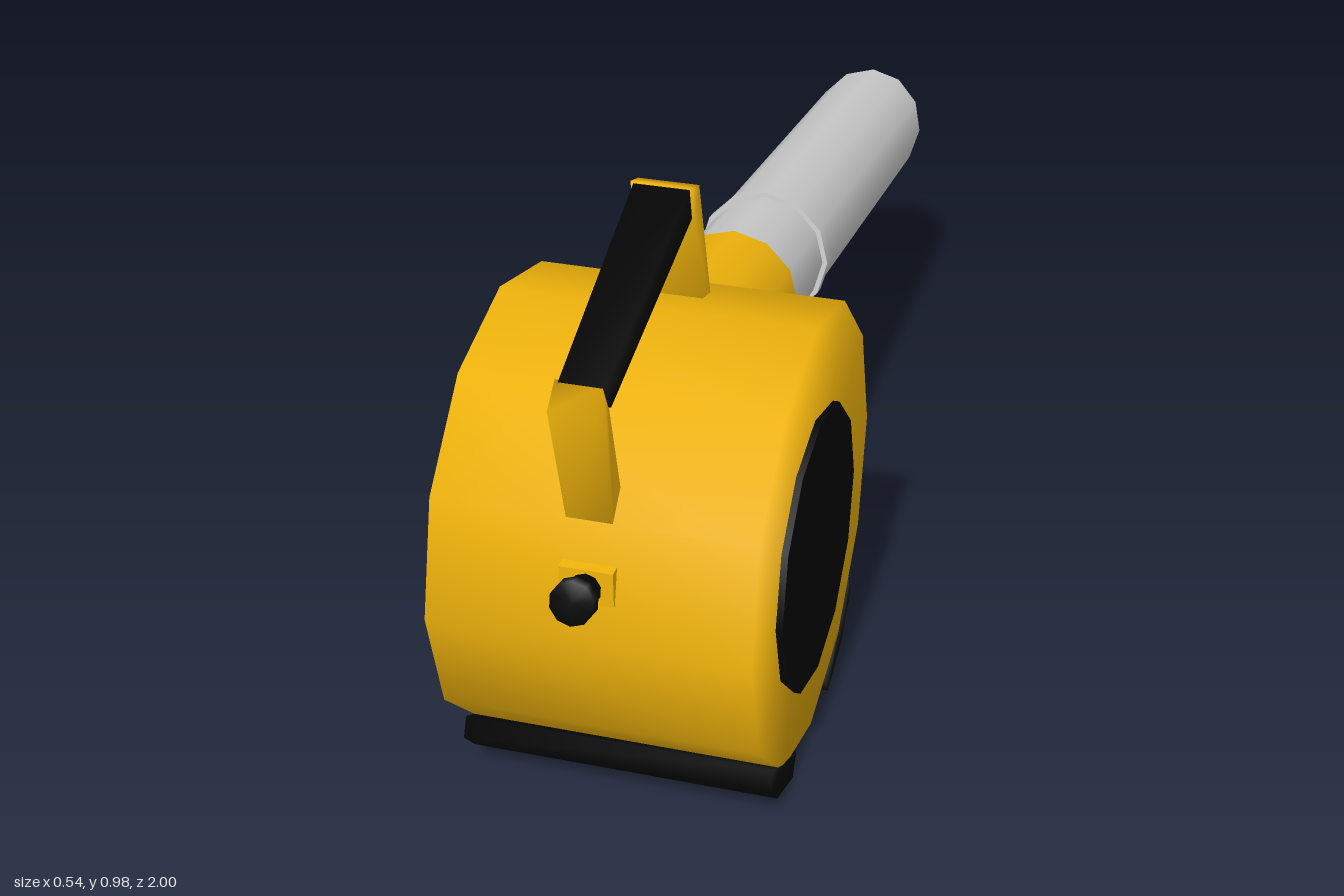
import * as THREE from 'three';
import { mergeVertices } from 'three/addons/utils/BufferGeometryUtils.js';

const yellow = new THREE.MeshStandardMaterial({ color: 0xf2b50c });
const black = new THREE.MeshStandardMaterial({ color: 0x060606 });
const grey = new THREE.MeshStandardMaterial({ color: 0xcccccc, side: THREE.DoubleSide });
const SIDES = 12;
const BODY = { y: 0.403, z: 0.555, r: 0.383, half: 0.26 };

// Shares normals over all edges for a soft look
function smooth(geometry) {
  geometry.deleteAttribute('uv');
  geometry.deleteAttribute('normal');
  const g = mergeVertices(geometry, 1e-4);
  g.computeVertexNormals();
  return g;
}

export function createModel() {
  const model = new THREE.Group();

  function add(name, geometry, material, parent = model) {
    const mesh = new THREE.Mesh(geometry, material);
    mesh.name = name;
    parent.add(mesh);
    return mesh;
  }

  // Side profile of [z, y] points given a half width in x (may vary with z)
  function prism(points, halfWidth) {
    const shape = new THREE.Shape(points.map(([z, y]) => new THREE.Vector2(-z, y)));
    const g = new THREE.ExtrudeGeometry(shape, { depth: 2, bevelEnabled: false });
    g.translate(0, 0, -1).rotateY(Math.PI / 2);
    const p = g.attributes.position;
    for (let i = 0; i < p.count; i++) p.setX(i, p.getX(i) * halfWidth(p.getZ(i)));
    return smooth(g);
  }

  // Drum-shaped housing lying across x
  const drum = new THREE.CylinderGeometry(BODY.r, BODY.r, BODY.half * 2, SIDES);
  drum.rotateZ(Math.PI / 2);
  add('housing', smooth(drum), yellow).position.set(0, BODY.y, BODY.z);

  // Round side covers, the left one slightly larger
  for (const [name, x, r] of [['leftCover', 0.256, 0.239], ['rightCover', -0.257, 0.23]]) {
    const cover = new THREE.CylinderGeometry(r, r, 0.03, SIDES);
    cover.rotateZ(Math.PI / 2);
    add(name, cover, black).position.set(x, 0.381, BODY.z);
  }

  // Rubber feet wrapping the lower edges
  const frontFoot = [[0.82, 0.084], [0.777, 0.037], [0.676, 0], [0.655, 0.04], [0.745, 0.08], [0.805, 0.117]];
  const rearFoot = [[0.273, 0.1], [0.333, 0.037], [0.434, 0], [0.455, 0.04], [0.365, 0.08], [0.29, 0.142]];
  add('frontFoot', prism(frontFoot, () => BODY.half), black);
  add('rearFoot', prism(rearFoot, () => BODY.half), black);

  // Bent vent panel on the back
  const vent = [[0.17, BODY.y], [0.2195, 0.588], [0.26, 0.57], [0.24, BODY.y], [0.26, 0.236], [0.2195, 0.218]];
  add('backVent', prism(vent, () => 0.145), black);

  // Carrying handle: two leaning posts and a sloping grip
  const frontPost = [[0.944, 0.815], [0.906, 0.848], [0.888, 0.81], [0.83, 0.58], [0.88, 0.58]];
  add('frontHandlePost', prism(frontPost, () => 0.037), yellow).position.x = -0.005;
  const rearPost = [[0.515, 0.981], [0.477, 0.969], [0.411, 0.71], [0.455, 0.72], [0.504, 0.92]];
  add('rearHandlePost', prism(rearPost, () => 0.05), yellow);
  const grip = [[0.91, 0.847], [0.512, 0.978], [0.5, 0.925], [0.888, 0.802]];
  add('grip', prism(grip, z => 0.046 - (z - 0.5) * 0.025), black);

  // Front knob on a small square base
  const base = new THREE.BoxGeometry(0.086, 0.06, 0.06);
  add('knobBase', base, yellow).position.set(0, 0.503, 0.893);
  const profile = [[0, 0], [0.026, 0], [0.026, 0.035], [0.036, 0.04], [0.036, 0.062], [0, 0.062]];
  const knob = new THREE.LatheGeometry(profile.map(([r, h]) => new THREE.Vector2(r, h)), 10);
  const knobMesh = add('knob', knob, black);
  knobMesh.position.set(0, 0.502, 0.929);
  knobMesh.rotation.x = Math.PI / 2 - 0.25;

  // Blower pipe, built along local y and tilted down toward the back
  const pipe = new THREE.Group();
  pipe.name = 'blowerPipe';
  pipe.position.set(0, 0.58, 0.118);
  pipe.rotation.x = -Math.PI / 2 - 0.134;
  model.add(pipe);

  function section(name, r, from, to, material, open) {
    const g = new THREE.CylinderGeometry(r, r, to - from, SIDES, 1, open);
    g.translate(0, (from + to) / 2, 0);
    return add(name, g, material, pipe).geometry;
  }
  section('outlet', 0.119, -0.3, 0, yellow, false);
  section('collar', 0.112, -0.02, 0.24, grey, true);
  section('collarRing', 0.121, 0.213, 0.24, grey, true);
  const lip = new THREE.RingGeometry(0.11, 0.121, SIDES, 1, Math.PI / 2);
  lip.rotateX(-Math.PI / 2);
  for (const y of [0.213, 0.24]) add('ringLip', lip, grey, pipe).position.y = y;

  // Long tube with a slanted open mouth
  const tube = section('tube', 0.114, 0.22, 1.08, grey, true);
  const p = tube.attributes.position;
  for (let i = 0; i < p.count; i++) {
    if (p.getY(i) > 1) p.setY(i, 1.08 + p.getZ(i) * 0.28);
  }

  return model;
}
